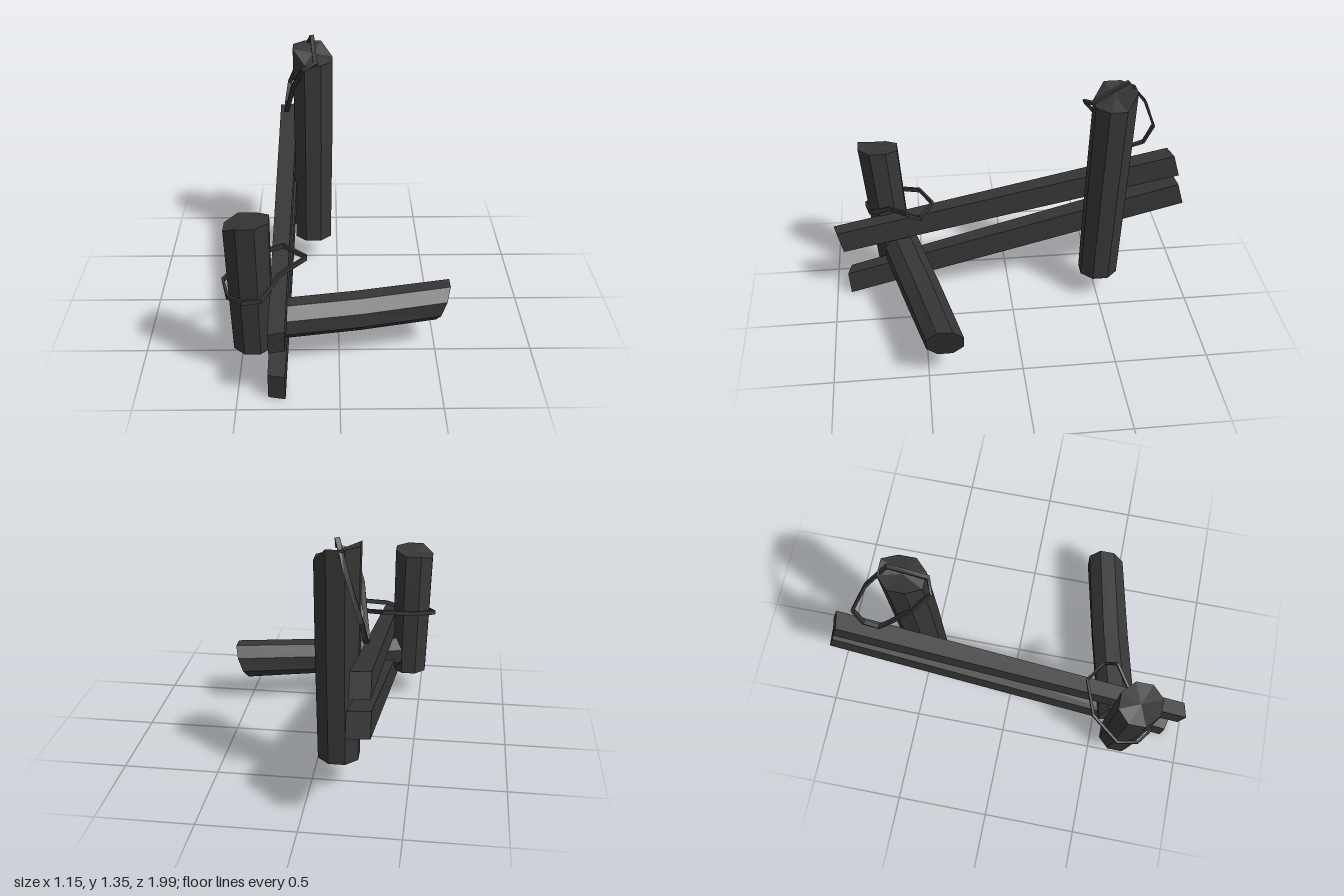
import * as THREE from 'three';

const charredWood = new THREE.MeshStandardMaterial({ color: 0x363636, flatShading: true });
charredWood.name = 'charred wood';

// Skins a list of rings (counter-clockwise seen from the far end); open ends get caps.
function loft(name, rings, closed = false) {
  const pos = [];
  const tri = (...pts) => pts.forEach(p => pos.push(p.x, p.y, p.z));
  const n = rings[0].length;
  const spans = closed ? rings.length : rings.length - 1;
  for (let i = 0; i < spans; i++) {
    const lo = rings[i], hi = rings[(i + 1) % rings.length];
    for (let j = 0; j < n; j++) {
      const k = (j + 1) % n;
      tri(lo[j], lo[k], hi[k]);
      tri(lo[j], hi[k], hi[j]);
    }
  }
  if (!closed) {
    for (const [ring, isEnd] of [[rings[0], false], [rings[rings.length - 1], true]]) {
      const mid = ring.reduce((s, p) => s.add(p), new THREE.Vector3()).divideScalar(n);
      for (let j = 0; j < n; j++) {
        const a = ring[j], b = ring[(j + 1) % n];
        if (isEnd) tri(mid, a, b); else tri(mid, b, a);
      }
    }
  }
  const geo = new THREE.BufferGeometry();
  geo.setAttribute('position', new THREE.Float32BufferAttribute(pos, 3));
  geo.computeVertexNormals();
  const mesh = new THREE.Mesh(geo, charredWood);
  mesh.name = name;
  return mesh;
}

// Horizontal ring; lift(dx, dz) makes broken, uneven ends.
function postRing(x, y, z, rx, rz, lift = () => 0) {
  return Array.from({ length: 8 }, (_, i) => {
    const a = (i + 0.5) * Math.PI / 4;
    const dx = Math.cos(a) * rx * 1.06, dz = -Math.sin(a) * rz * 1.06;
    return new THREE.Vector3(x + dx, y + lift(dx, dz), z + dz);
  });
}

// Upright ring facing +x, sheared by height and depth.
function logRing(x, y, z, ry, rz, shearY, shearZ) {
  return Array.from({ length: 8 }, (_, i) => {
    const a = (i + 0.5) * Math.PI / 4;
    const dy = Math.sin(a) * ry * 1.06, dz = -Math.cos(a) * rz * 1.06;
    return new THREE.Vector3(x + dy * shearY + dz * shearZ, y + dy, z + dz);
  });
}

// Four-cornered rail end, running towards -z; skew pushes the -x side along z.
function railRing(x0, x1, [topY, topZ], [botY, botZ], skew) {
  return [
    new THREE.Vector3(x0, topY, topZ + skew), new THREE.Vector3(x1, topY, topZ),
    new THREE.Vector3(x1, botY, botZ), new THREE.Vector3(x0, botY, botZ + skew),
  ];
}

// Closed square-section rope through the points.
function ropeLoop(name, points, up, width, height) {
  const pts = points.map(p => new THREE.Vector3(...p));
  const n = pts.length;
  const rings = pts.map((p, i) => {
    const t = pts[(i + 1) % n].clone().sub(pts[(i + n - 1) % n]).normalize();
    const u = up.clone().addScaledVector(t, -up.dot(t)).normalize();
    const v = t.clone().cross(u);
    return [[1, 1], [-1, 1], [-1, -1], [1, -1]].map(([a, b]) =>
      p.clone().addScaledVector(u, a * height / 2).addScaledVector(v, b * width / 2));
  });
  return loft(name, rings, true);
}

export function createModel() {
  const group = new THREE.Group();
  group.name = 'brokenFence';

  // Standing posts
  group.add(loft('tallPost', [
    postRing(-0.14, 0.16, -0.505, 0.105, 0.105),
    postRing(-0.135, 0.75, -0.53, 0.11, 0.11),
    postRing(-0.135, 1.235, -0.555, 0.113, 0.113, (dx, dz) => (dx + dz < -0.05 ? 0.075 : 0)),
  ]));
  group.add(loft('shortPost', [
    postRing(-0.43, 0.15, 0.65, 0.098, 0.1),
    postRing(-0.435, 0.5, 0.68, 0.105, 0.105),
    postRing(-0.44, 0.885, 0.71, 0.11, 0.11,
      (dx, dz) => (dx < -0.08 ? -0.04 : 0) + (dz < -0.08 ? -0.02 : 0)),
  ]));

  // Sloping rails
  group.add(loft('upperRail', [
    railRing(-0.34, -0.26, [0.425, 0.97], [0.3, 0.94], 0.02),
    railRing(-0.335, -0.235, [0.825, -0.93], [0.7, -0.965], 0.02),
  ]));
  group.add(loft('lowerRail', [
    railRing(-0.35, -0.265, [0.14, 0.93], [0.005, 0.92], -0.02),
    railRing(-0.34, -0.225, [0.645, -0.965], [0.52, -1.0], 0.01),
  ]));

  // Fallen log with a slight bend
  group.add(loft('fallenLog', [
    logRing(-0.33, 0.27, 0.615, 0.095, 0.09, 0, 0.7),
    logRing(0.1, 0.252, 0.51, 0.095, 0.1, 0, 0.2),
    logRing(0.54, 0.253, 0.41, 0.1, 0.1, 0.35, 0),
  ]));

  // Ropes hanging from the posts
  group.add(ropeLoop('shortPostRope', [
    [-0.57, 0.515, 0.64], [-0.54, 0.485, 0.75], [-0.47, 0.48, 0.8], [-0.38, 0.48, 0.78],
    [-0.29, 0.555, 0.66], [-0.165, 0.595, 0.57], [-0.165, 0.56, 0.5],
    [-0.28, 0.585, 0.425], [-0.46, 0.56, 0.49],
  ], new THREE.Vector3(0, 1, 0), 0.014, 0.024));
  group.add(ropeLoop('tallPostRope', [
    [-0.14, 1.35, -0.62], [-0.2, 1.2, -0.73], [-0.275, 1.01, -0.805], [-0.293, 0.9, -0.76],
    [-0.293, 0.875, -0.68], [-0.28, 0.93, -0.625], [-0.245, 1.1, -0.49],
    [-0.19, 1.225, -0.4], [-0.12, 1.25, -0.43],
  ], new THREE.Vector3(1, 0, 0), 0.014, 0.024));

  return group;
}
